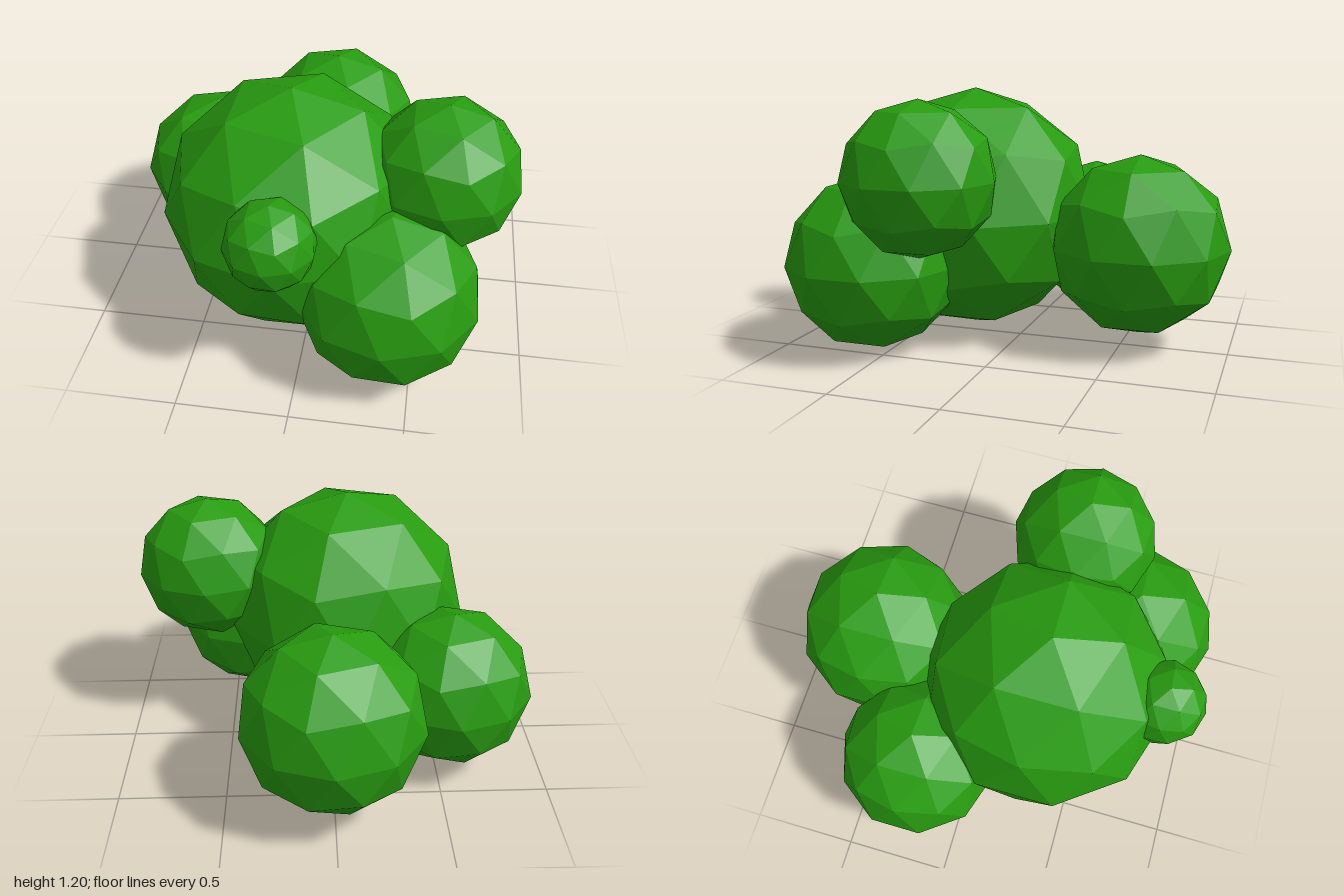
import * as THREE from 'three';

const leafGreen = new THREE.MeshStandardMaterial({ color: 0x289c10, flatShading: true });
leafGreen.name = 'leaf green';

// Faceted 80-sided ball with one vertex straight up and an upper-ring vertex toward +x
function leafBall(radius) {
  const geometry = new THREE.IcosahedronGeometry(radius, 1);
  geometry.rotateZ(-Math.atan(2 / (1 + Math.sqrt(5))));
  geometry.computeVertexNormals();
  return geometry;
}

// Foliage clumps: name, radius, centre
const clumps = [
  ['mainClump', 0.59, [-0.087, 0.61, 0.26]],
  ['backClump', 0.42, [0.01, 0.49, -0.58]],
  ['frontClump', 0.41, [0.38, 0.41, 0.59]],
  ['rightClump', 0.375, [-0.555, 0.43, -0.24]],
  ['upperLeftClump', 0.342, [0.582, 0.833, 0.262]],
  ['smallFrontClump', 0.195, [-0.09, 0.795, 0.8]],
];

export function createModel() {
  const bush = new THREE.Group();
  bush.name = 'bush';
  for (const [name, radius, centre] of clumps) {
    const clump = new THREE.Mesh(leafBall(radius), leafGreen);
    clump.name = name;
    clump.position.set(...centre);
    bush.add(clump);
  }
  return bush;
}
